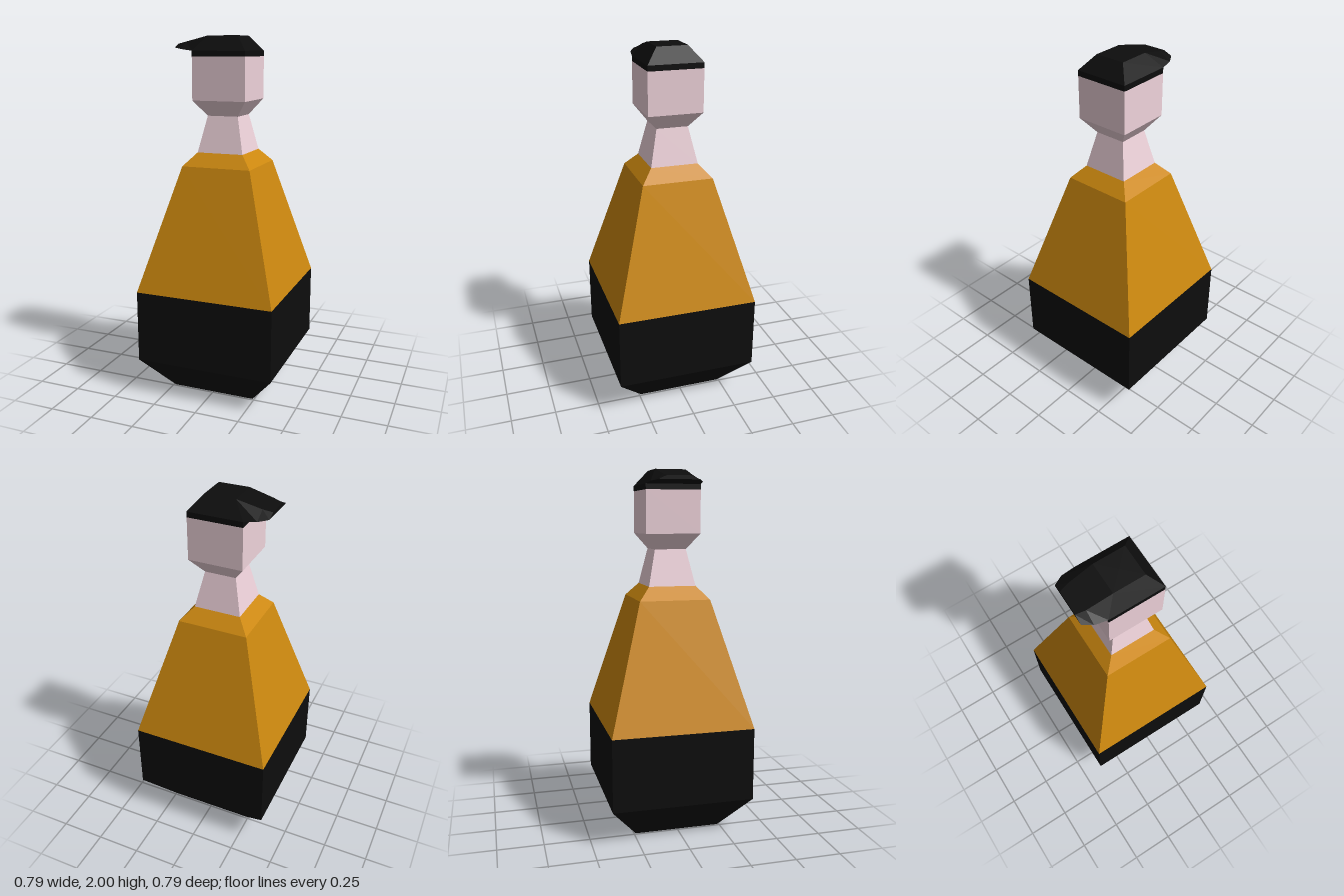
import * as THREE from 'three';

const material = (color) => new THREE.MeshStandardMaterial({ color, flatShading: true });

// Square solid of stacked levels; profile is [half width, y] from bottom to top
function squareStack(name, profile, mat) {
  const points = profile.map(([half, y]) => new THREE.Vector2(half * Math.SQRT2, y));
  const mesh = new THREE.Mesh(new THREE.LatheGeometry(points, 4, Math.PI / 4), mat);
  mesh.name = name;
  return mesh;
}

// Brim: trapezoid sections running toward -x
function brimGeometry() {
  // [bottom x, bottom y, bottom half width, top x, top y, top half width]
  const sections = [
    [-0.152, 1.92, 0.152, -0.085, 2.0, 0.085],
    [-0.22, 1.929, 0.142, -0.22, 1.968, 0.077],
    [-0.27, 1.937, 0.113, -0.27, 1.957, 0.065],
  ].map(([bx, by, bz, tx, ty, tz]) => [[bx, by, bz], [tx, ty, tz], [tx, ty, -tz], [bx, by, -bz]]);
  const positions = [];
  const quad = (a, b, c, d) => positions.push(...a, ...b, ...c, ...a, ...c, ...d);
  for (let s = 0; s < sections.length - 1; s++) {
    const [near, far] = [sections[s], sections[s + 1]];
    for (let i = 0; i < 4; i++) {
      const j = (i + 1) % 4;
      quad(near[i], near[j], far[j], far[i]);
    }
  }
  quad(...sections[sections.length - 1]);
  const geometry = new THREE.BufferGeometry();
  geometry.setAttribute('position', new THREE.Float32BufferAttribute(positions, 3));
  geometry.computeVertexNormals();
  return geometry;
}

export function createModel() {
  const black = material(0x0d0d0d);
  const orange = material(0xcc880f);
  const skin = material(0xefd3db);
  const model = new THREE.Group();
  model.name = 'figure';

  // Body
  model.add(squareStack('trousers', [[0, 0], [0.24, 0], [0.395, 0.2], [0.395, 0.605]], black));
  model.add(squareStack('shirt', [[0.395, 0.605], [0.197, 1.3], [0.132, 1.372]], orange));

  // Neck and head
  model.add(squareStack('neck', [[0.132, 1.372], [0.088, 1.572]], skin));
  model.add(squareStack('head', [[0.088, 1.572], [0.152, 1.657], [0.152, 1.89]], skin));

  // Cap with its brim
  const cap = new THREE.Group();
  cap.name = 'cap';
  cap.add(squareStack('capCrown', [[0.152, 1.89], [0.152, 1.92], [0.085, 2], [0, 2]], black));
  const brim = new THREE.Mesh(brimGeometry(), black);
  brim.name = 'capBrim';
  cap.add(brim);
  model.add(cap);

  return model;
}
